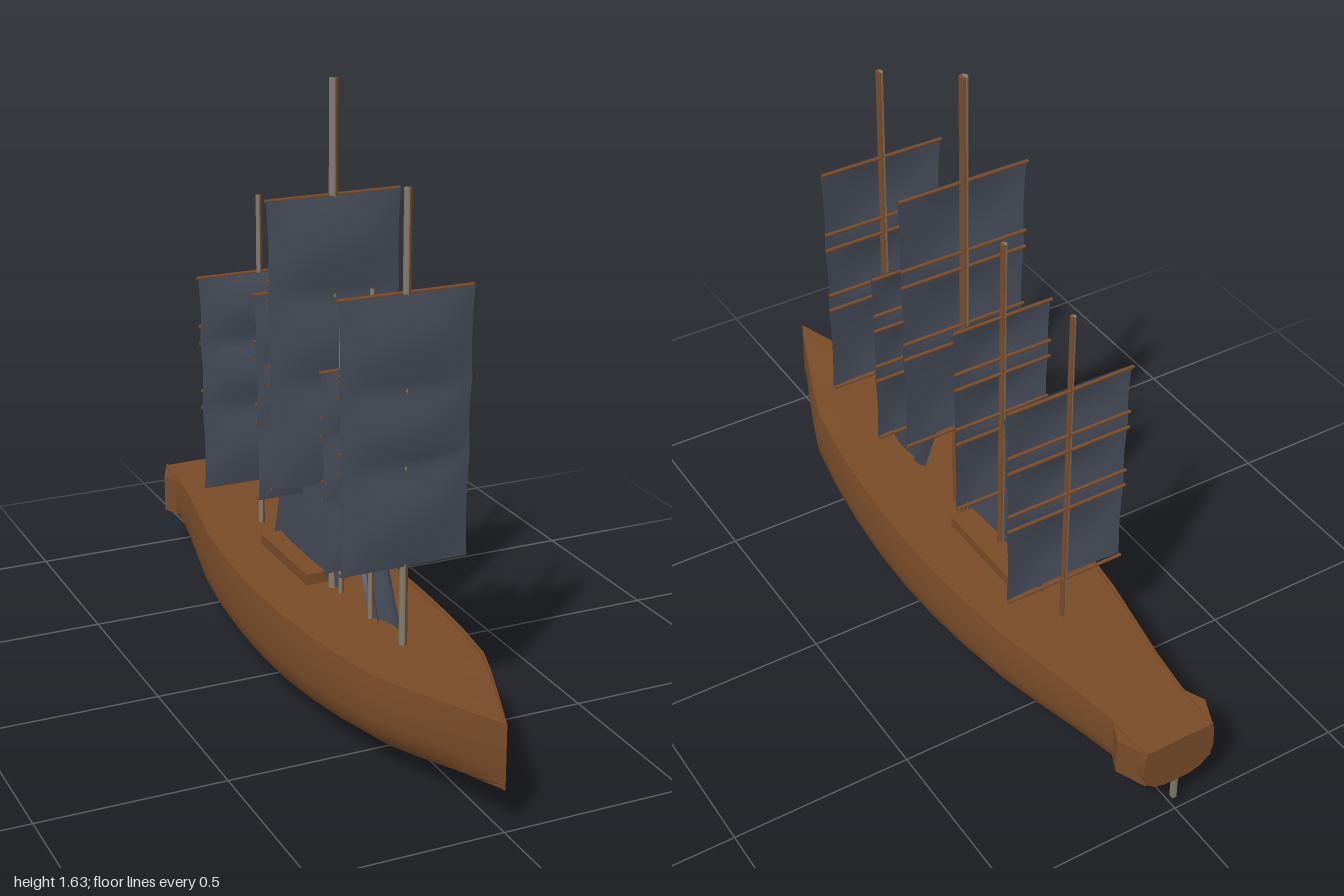
import * as THREE from 'three';
import { toCreasedNormals } from 'three/addons/utils/BufferGeometryUtils.js';

const paint = (name, color, side = THREE.FrontSide) => {
  const m = new THREE.MeshStandardMaterial({ color, side });
  m.name = name;
  return m;
};
const timber = paint('timber brown', 0x784b28);
const weathered = paint('weathered grey wood', 0x827a6c);
const canvas = paint('slate canvas', 0x454b58, THREE.DoubleSide);

function add(parent, name, geometry, material, x = 0, y = 0, z = 0) {
  const mesh = new THREE.Mesh(geometry, material);
  mesh.name = name;
  mesh.position.set(x, y, z);
  parent.add(mesh);
  return mesh;
}

const keelY = z => 0.11 * Math.abs(z) ** 1.75;
const sheerY = z => 0.245 + (z > 0 ? 0.038 : 0.012) * Math.abs(z) ** 1.6;

// Hull: cross-sections lofted from bow to stern, with the deck as the closing top
function hullGeometry() {
  const stations = [[1, 0], [0.9, 0.041], [0.8, 0.081], [0.7, 0.12], [0.6, 0.155], [0.45, 0.179],
    [0.3, 0.195], [0.15, 0.205], [0, 0.208], [-0.15, 0.205], [-0.3, 0.195], [-0.45, 0.178],
    [-0.6, 0.15], [-0.72, 0.127], [-0.86, 0.108], [-0.94, 0.108], [-1, 0.1]];
  const side = [[0.42, 0.015], [0.72, 0.08], [0.92, 0.2], [1.03, 0.34], [1.07, 0.48],
    [1.06, 0.68], [1.03, 0.88], [1, 1], [0.96, 1], [0.95, 0.975]];
  const loop = [[0, 0], ...side, [0, 0.985], ...side.map(([x, y]) => [-x, y]).reverse()];
  const n = loop.length, pos = [], index = [];
  for (const [z, w] of stations) {
    const k = keelY(z), h = sheerY(z) - k;
    for (const [x, y] of loop) pos.push(x * w, k + y * h, z);
  }
  for (let i = 0; i < stations.length - 1; i++) {
    for (let j = 0; j < n; j++) {
      const a = i * n + j, b = i * n + (j + 1) % n;
      index.push(a, b + n, b, a, a + n, b + n);
    }
  }
  // Transom
  const last = (stations.length - 1) * n;
  pos.push(0, 0.18, -1);
  for (let j = 0; j < n; j++) index.push(pos.length / 3 - 1, last + (j + 1) % n, last + j);
  const g = new THREE.BufferGeometry();
  g.setAttribute('position', new THREE.Float32BufferAttribute(pos, 3));
  g.setIndex(index);
  return toCreasedNormals(g, 0.6);
}

// Mast: weathered on the right half, brown on the left half
function addMast(parent, z, top, r) {
  const mast = new THREE.Group();
  mast.name = 'mast';
  const h = top - 0.22;
  [[timber, 0], [weathered, Math.PI]].forEach(([mat, start]) => {
    const half = new THREE.CylinderGeometry(r, r * 1.1, h, 6, 1, false, start, Math.PI);
    add(mast, 'mastHalf', half, mat, 0, 0.22 + h / 2, z);
  });
  parent.add(mast);
}

// Square sail: battened panels billowing forward, with a yard behind each seam
function addSquareSail(parent, z, halfWidth, seams) {
  const sail = new THREE.Group();
  sail.name = 'squareSail';
  const panels = seams.length - 1, per = 8;
  const g = new THREE.PlaneGeometry(2, 1, 12, panels * per);
  const p = g.attributes.position;
  for (let i = 0; i < p.count; i++) {
    const u = p.getX(i), t = (0.5 - p.getY(i)) * panels;
    const k = Math.min(Math.floor(t + 1e-6), panels - 1), f = t - k;
    const inner = Math.min(t, panels - t, 1);
    const y = seams[k] + (seams[k + 1] - seams[k]) * f - 0.007 * Math.sin(u * 2.2 + k) * inner;
    const billow = Math.sin(Math.PI * f);
    p.setXYZ(i, u * halfWidth * (1 - 0.05 * t / panels - 0.025 * billow), y,
      0.003 + (1 - u * u) * (0.006 + 0.018 * billow));
  }
  g.computeVertexNormals();
  add(sail, 'sailCloth', g, canvas, 0, 0, z);
  seams.forEach((y, i) => {
    const heights = i > 0 && i < panels ? [y, y + 0.05] : [y];
    for (const h of heights) {
      const w = 2 * halfWidth * (1 - 0.05 * i / panels);
      add(sail, 'yard', new THREE.CylinderGeometry(0.005, 0.005, w, 6), timber, 0, h, z - 0.004)
        .rotation.z = Math.PI / 2;
    }
  });
  parent.add(sail);
}

// Fore-and-aft sail: four [z, y] corners joined by a gently bellied sheet
function addStaySail(parent, name, [a, b, c, d], belly) {
  const g = new THREE.PlaneGeometry(1, 1, 10, 10);
  const p = g.attributes.position;
  for (let i = 0; i < p.count; i++) {
    const u = p.getX(i) + 0.5, v = 0.5 - p.getY(i);
    const mix = k => (a[k] * (1 - u) + b[k] * u) * (1 - v) + (d[k] * (1 - u) + c[k] * u) * v;
    p.setXYZ(i, belly * Math.sin(Math.PI * u) * Math.sin(Math.PI * v * 0.8), mix(1), mix(0));
  }
  g.computeVertexNormals();
  add(parent, name, g, canvas);
}

export function createModel() {
  const ship = new THREE.Group();
  ship.name = 'sailingShip';
  add(ship, 'hull', hullGeometry(), timber);

  // Deckhouse
  add(ship, 'deckhouse', new THREE.BoxGeometry(0.126, 0.04, 0.32), timber, 0, 0.252, -0.165);

  // Quarter galleries at the stern
  for (const s of [1, -1]) {
    const outline = new THREE.Shape([[0.09, 0.86], [0.112, 0.87], [0.135, 0.92], [0.1, 1], [0.07, 0.99]]
      .map(([x, z]) => new THREE.Vector2(s * x, z)));
    const g = new THREE.ExtrudeGeometry(outline, { depth: 0.11, bevelEnabled: false });
    g.rotateX(-Math.PI / 2);
    add(ship, 'quarterGallery', g, timber, 0, 0.14, 0);
  }

  // Rudder posts
  add(ship, 'rudderPost', new THREE.BoxGeometry(0.012, 0.1, 0.014), weathered, 0, 0.085, -0.988);
  add(ship, 'rudderPin', new THREE.BoxGeometry(0.012, 0.04, 0.014), weathered, 0, 0.07, -0.738);

  // Masts: z, top height, radius
  [[0.455, 1.44, 0.01], [0.265, 1.14, 0.007], [0.08, 1.0, 0.006], [0.03, 1.63, 0.012],
    [-0.16, 1.25, 0.009], [-0.47, 1.22, 0.008]].forEach(m => addMast(ship, ...m));

  // Square sails, seams listed from top to bottom
  addSquareSail(ship, 0.455, 0.185, [1.18, 0.94, 0.74, 0.47]);
  addSquareSail(ship, 0.268, 0.145, [0.94, 0.77, 0.6, 0.4]);
  addSquareSail(ship, 0.032, 0.19, [1.33, 1.07, 0.84, 0.55]);
  addSquareSail(ship, -0.158, 0.147, [1.03, 0.85, 0.67, 0.45]);
  addSquareSail(ship, -0.47, 0.185, [1.0, 0.81, 0.62, 0.38]);

  // Fore-and-aft sails
  addStaySail(ship, 'spanker', [[0.082, 0.81], [-0.25, 0.67], [-0.375, 0.25], [0.082, 0.25]], -0.014);
  addStaySail(ship, 'outerJib', [[0.08, 0.86], [0.08, 0.86], [0.27, 0.25], [0.455, 0.275]], 0.03);
  addStaySail(ship, 'innerJib', [[0.08, 0.675], [0.08, 0.675], [0.245, 0.25], [0.31, 0.25]], 0.025);
  return ship;
}
